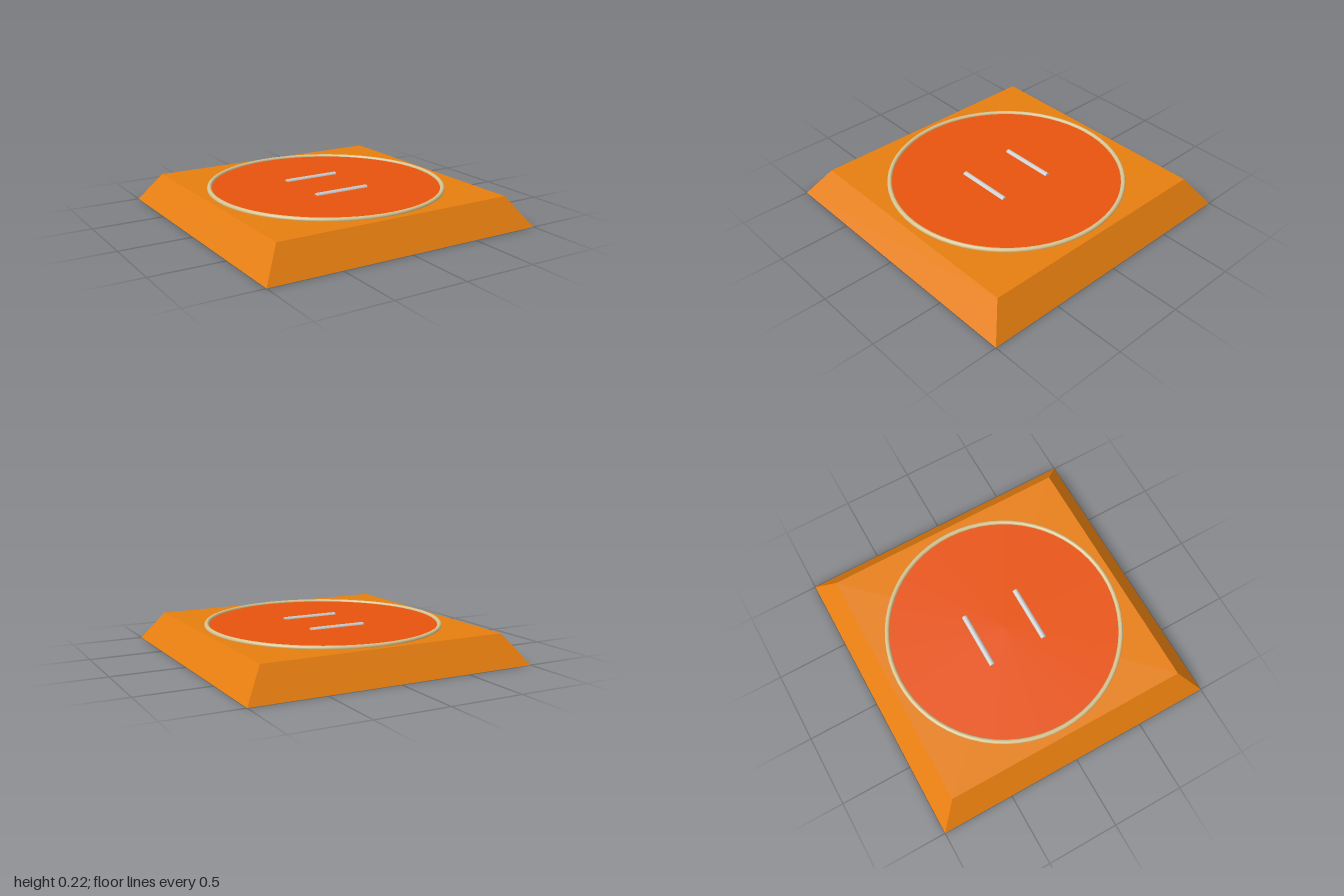
import * as THREE from 'three';

export function createModel() {
  const model = new THREE.Group();
  const add = (name, geometry, color, y, z = 0, flatShading = false) => {
    const mesh = new THREE.Mesh(geometry, new THREE.MeshStandardMaterial({ color, flatShading }));
    mesh.name = name;
    mesh.position.set(0, y, z);
    model.add(mesh);
  };

  // Square base with sloping sides: half width 1 at the foot, 0.86 at the top
  const base = new THREE.CylinderGeometry(0.86 * Math.SQRT2, Math.SQRT2, 0.2, 4);
  base.rotateY(Math.PI / 4);
  add('base', base, 0xe67e0f, 0.1, 0, true);

  // Round pad, just proud of the base
  add('pad', new THREE.CylinderGeometry(0.8, 0.8, 0.01, 64), 0xe8530e, 0.2);

  // Raised rim around the pad
  const rim = new THREE.TorusGeometry(0.8, 0.016, 12, 64);
  rim.rotateX(Math.PI / 2);
  add('rim', rim, 0xd6c28e, 0.204);

  // Two round bars half sunk into the pad
  for (const [name, z] of [['frontBar', 0.2], ['backBar', -0.2]]) {
    const bar = new THREE.CylinderGeometry(0.02, 0.02, 0.4, 16);
    bar.rotateZ(Math.PI / 2);
    add(name, bar, 0xcccccc, 0.2, z);
  }

  return model;
}
